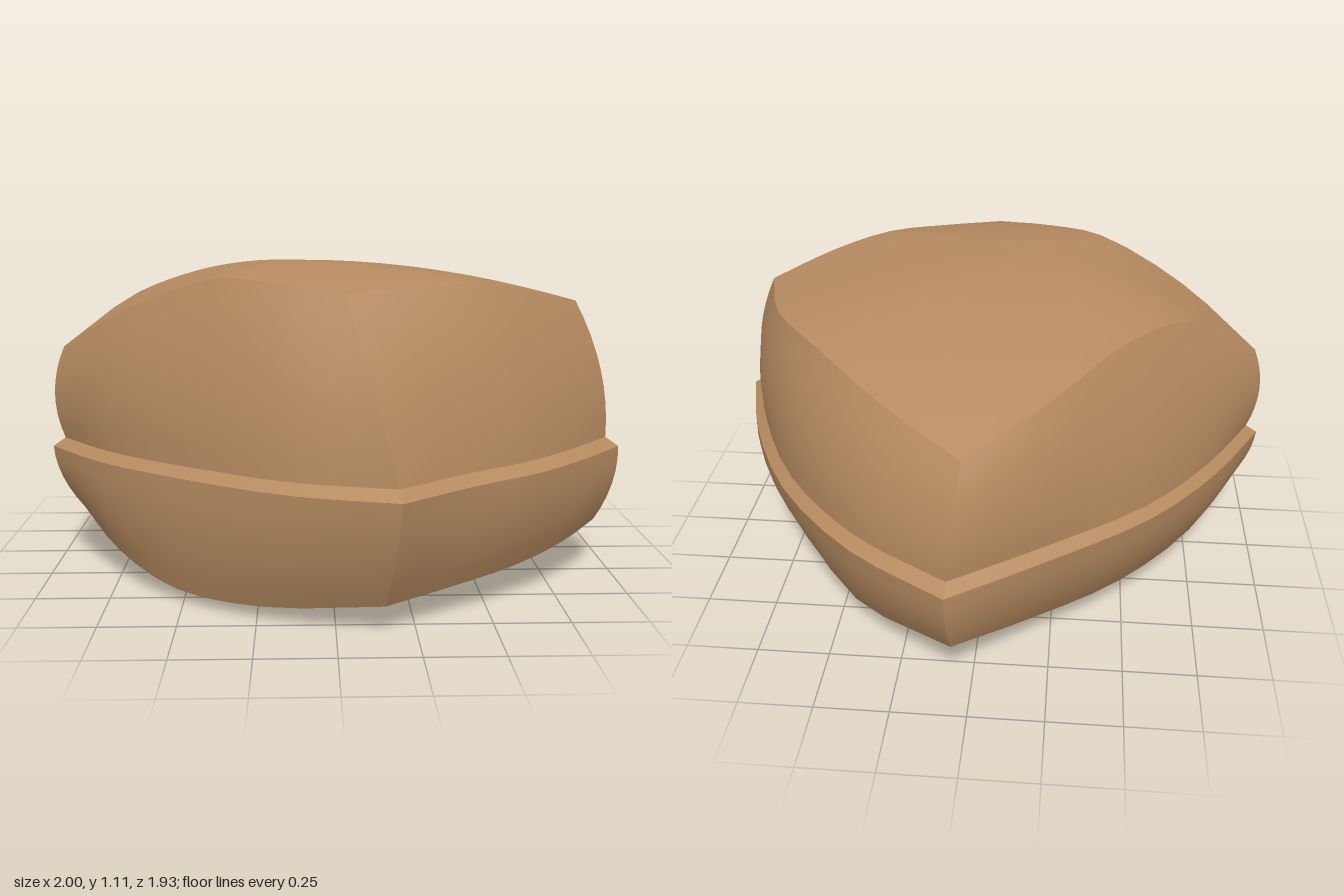
import * as THREE from 'three';

const V = (p) => new THREE.Vector3(p[0], p[1], p[2]);

// Each loop runs left corner, front corner, right corner, back corner,
// with three points along every side between the corners.
const BOTTOM_EDGE = [
  [-0.9, 0.21, 0.12], [-0.74, 0.115, 0.34], [-0.52, 0.045, 0.54], [-0.22, 0.05, 0.72],
  [0.15, 0.095, 0.84], [0.36, 0.11, 0.72], [0.6, 0.13, 0.57], [0.79, 0.165, 0.43],
  [0.93, 0.2, 0.29], [0.87, 0.165, 0.07], [0.7, 0.15, -0.22], [0.43, 0.115, -0.59],
  [0.06, 0.2, -0.9], [-0.2, 0.14, -0.66], [-0.49, 0.125, -0.42], [-0.75, 0.15, -0.13],
];
const RIDGE = [
  [-1, 0.44, 0.13], [-0.78, 0.445, 0.4], [-0.46, 0.45, 0.66], [-0.13, 0.452, 0.86],
  [0.19, 0.455, 0.96], [0.44, 0.46, 0.78], [0.66, 0.463, 0.64], [0.86, 0.467, 0.46],
  [1, 0.47, 0.31], [0.9, 0.465, -0.03], [0.7, 0.46, -0.43], [0.4, 0.455, -0.76],
  [0.07, 0.45, -0.97], [-0.24, 0.447, -0.75], [-0.58, 0.443, -0.48], [-0.82, 0.44, -0.18],
];
const TOP_EDGE = [
  [-0.95, 0.8, 0.11], [-0.69, 0.955, 0.33], [-0.38, 1.07, 0.51], [-0.18, 1.065, 0.62],
  [0.03, 1.04, 0.72], [0.24, 1.05, 0.63], [0.45, 1.055, 0.53], [0.65, 1.025, 0.39],
  [0.85, 0.97, 0.22], [0.75, 0.98, -0.1], [0.56, 0.975, -0.35], [0.3, 0.91, -0.6],
  [0.03, 0.84, -0.8], [-0.24, 0.95, -0.59], [-0.47, 1.02, -0.32], [-0.7, 0.98, -0.06],
];
const SEG = 12;

// A loop becomes four smooth side curves meeting at sharp corners
function sidesOf(loop) {
  return [0, 1, 2, 3].map((s) => {
    const pts = [0, 1, 2, 3, 4].map((k) => V(loop[(s * 4 + k) % 16]));
    const curve = new THREE.CatmullRomCurve3(pts, false, 'centripetal');
    return curve.getPoints(SEG);
  });
}

// Skin over rows of points that run from low to high
function skin(rows, closed) {
  const n = rows[0].length;
  const index = [];
  for (let r = 0; r < rows.length - 1; r++) {
    for (let i = 0; i < (closed ? n : n - 1); i++) {
      const j = (i + 1) % n;
      const a = r * n + i, b = r * n + j, c = a + n, d = b + n;
      index.push(a, b, d, a, d, c);
    }
  }
  const geo = new THREE.BufferGeometry().setFromPoints(rows.flat());
  geo.setIndex(index);
  geo.computeVertexNormals();
  return geo;
}

// Wall between two curves, bulging outward halfway up
function wallRows(low, high, bulge, steps) {
  return Array.from({ length: steps + 1 }, (_, r) => {
    const t = r / steps;
    return low.map((p, i) => {
      const q = p.clone().lerp(high[i], t);
      const out = new THREE.Vector3(q.x, 0, q.z).normalize();
      return q.addScaledVector(out, bulge * 4 * t * (1 - t));
    });
  });
}

// Dome from an edge loop to its centre
function domeRows(sides, centre, power) {
  const edge = sides.flatMap((s) => s.slice(0, -1));
  const steps = 10;
  return Array.from({ length: steps + 1 }, (_, r) => {
    const t = r / steps;
    return edge.map((p) => {
      const q = p.clone().lerp(centre, t);
      q.y = centre.y + (p.y - centre.y) * Math.pow(1 - t, power);
      return q;
    });
  });
}

export function createModel() {
  const group = new THREE.Group();
  const material = new THREE.MeshStandardMaterial({ color: 0xb58a60 });
  const add = (name, geo) => {
    const mesh = new THREE.Mesh(geo, material);
    mesh.name = name;
    group.add(mesh);
  };

  const bottom = sidesOf(BOTTOM_EDGE);
  const ridge = sidesOf(RIDGE);
  const ledge = sidesOf(RIDGE.map(([x, y, z]) => [x * 0.957, y + 0.03, z * 0.95]));
  const top = sidesOf(TOP_EDGE);

  // Four faces: lower wall, sloping ledge, upper wall
  ['FrontRight', 'FrontLeft', 'BackLeft', 'BackRight'].forEach((side, s) => {
    add('lowerWall' + side, skin(wallRows(bottom[s], ridge[s], 0.022, 6)));
    add('ledge' + side, skin(wallRows(ridge[s], ledge[s], 0, 1)));
    add('upperWall' + side, skin(wallRows(ledge[s], top[s], 0.035, 8)));
  });

  // Rounded underside and crown
  add('underside', skin(domeRows(bottom, V([-0.12, 0, 0.18]), 2.6).reverse(), true));
  add('crown', skin(domeRows(top, V([-0.15, 1.11, 0.24]), 2), true));
  return group;
}
